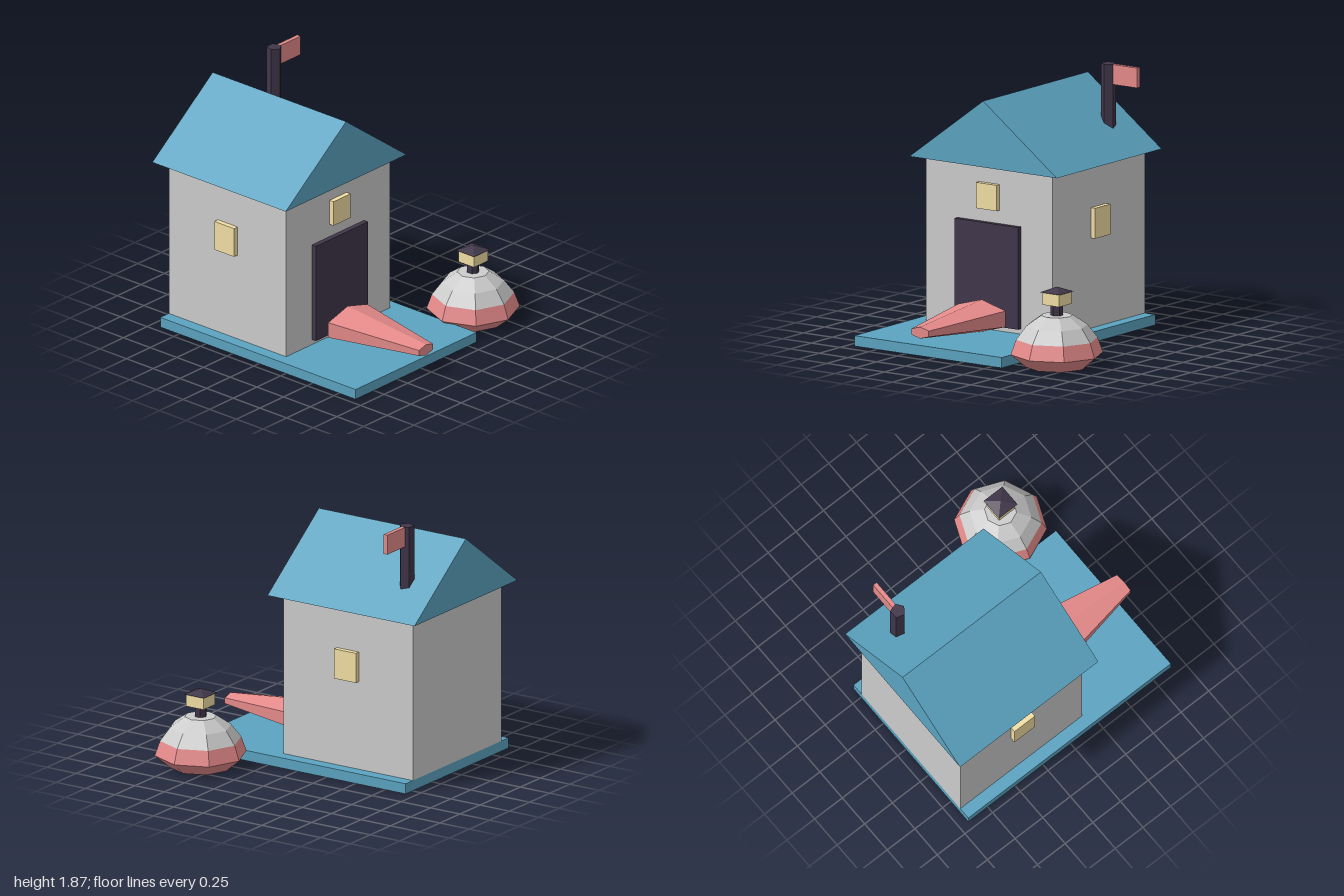
import * as THREE from 'three';

const material = (color) => new THREE.MeshStandardMaterial({ color, flatShading: true, side: THREE.DoubleSide });

export function createModel() {
  const model = new THREE.Group();
  const grey = material(0xcccccc);
  const teal = material(0x5ba3c0);
  const red = material(0xe58a8a);
  const dark = material(0x40364a);
  const yellow = material(0xf2dea4);

  const add = (name, geometry, mat, x = 0, y = 0, z = 0, parent = model) => {
    const mesh = new THREE.Mesh(geometry, mat);
    mesh.name = name;
    mesh.position.set(x, y, z);
    parent.add(mesh);
    return mesh;
  };
  // Box given by its lower and upper corners
  const addBox = (name, mat, [x0, y0, z0], [x1, y1, z1], parent = model) =>
    add(name, new THREE.BoxGeometry(x1 - x0, y1 - y0, z1 - z0), mat,
      (x0 + x1) / 2, (y0 + y1) / 2, (z0 + z1) / 2, parent);

  // House: centred on its own x axis
  const house = new THREE.Group();
  house.name = 'house';
  house.position.x = -0.305;
  model.add(house);
  addBox('base', teal, [-0.64, 0, -0.925], [0.64, 0.075, 0.905], house);
  addBox('walls', grey, [-0.55, 0.075, -0.925], [0.55, 1.25, 0.175], house);
  addBox('door', dark, [-0.275, 0.113, 0.165], [0.275, 0.845, 0.212], house);
  addBox('frontWindow', yellow, [-0.09, 0.94, 0.165], [0.09, 1.125, 0.212], house);
  for (const side of [-1, 1]) {
    add(side > 0 ? 'leftWindow' : 'rightWindow', new THREE.BoxGeometry(0.047, 0.218, 0.185), yellow,
      side * 0.564, 0.83, -0.373, house);
  }

  // Gable roof
  const gable = new THREE.Shape([
    new THREE.Vector2(-0.64, 1.25), new THREE.Vector2(0.64, 1.25), new THREE.Vector2(0, 1.725),
  ]);
  add('roof', new THREE.ExtrudeGeometry(gable, { depth: 1.25, bevelEnabled: false }), teal, 0, 0, -1, house);

  // Post with flag
  add('post', new THREE.CylinderGeometry(0.055, 0.055, 0.475, 5), dark, 0.06, 1.637, -0.745);
  addBox('flag', red, [0.08, 1.73, -0.76], [0.32, 1.873, -0.728]);

  // Tapered six-sided beam lying in front of the door
  const beam = new THREE.CylinderGeometry(0.0866, 0.239, 0.735, 6);
  beam.rotateX(Math.PI / 2).scale(1, 0.481, 1);
  add('beam', beam, red, -0.305, 0.19, 0.6325);

  // Eight-sided round bottle
  const bottle = new THREE.Group();
  bottle.name = 'bottle';
  bottle.position.set(0.612, 0, 0.629);
  model.add(bottle);
  const ring = (points) => new THREE.LatheGeometry(points.map(([r, y]) => new THREE.Vector2(r, y)), 8);
  add('bottleLower', ring([[0, 0], [0.218, 0], [0.328, 0.093], [0.29, 0.2]]), red, 0, 0, 0, bottle);
  add('bottleUpper', ring([[0.29, 0.2], [0.218, 0.295], [0.113, 0.368], [0, 0.368]]), grey, 0, 0, 0, bottle);
  add('neck', new THREE.CylinderGeometry(0.045, 0.045, 0.09, 6), dark, 0, 0.405, 0, bottle);
  addBox('stopper', yellow, [-0.073, 0.445, -0.073], [0.073, 0.535, 0.073], bottle);
  const cap = new THREE.ConeGeometry(0.085 * Math.SQRT2, 0.037, 4).rotateY(Math.PI / 4);
  add('cap', cap, dark, 0, 0.5525, 0, bottle);

  return model;
}
